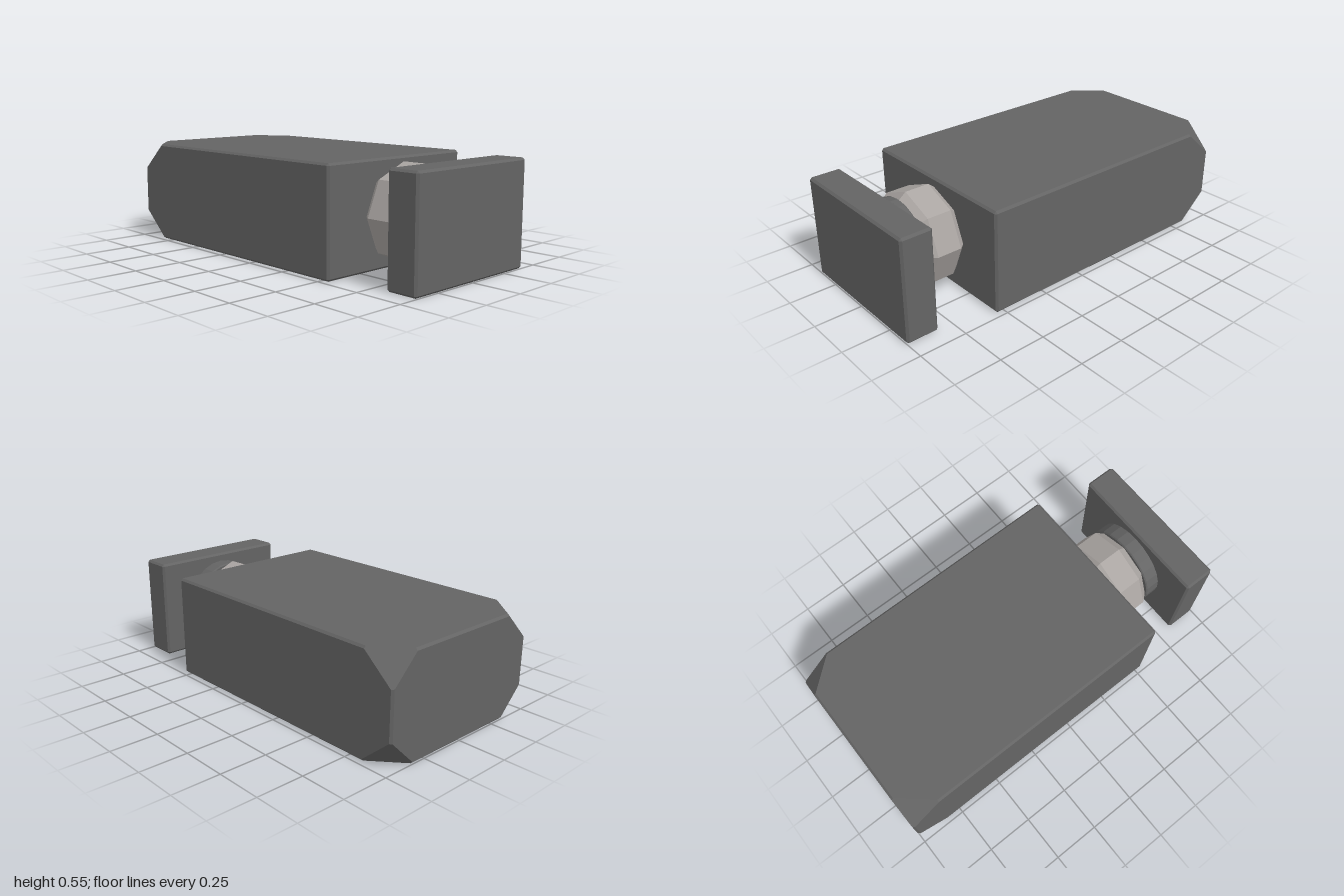
import * as THREE from 'three';
import { ConvexGeometry } from 'three/addons/geometries/ConvexGeometry.js';

const H = 0.545, MID = H / 2, BEVEL = 0.011;
const dark = new THREE.MeshStandardMaterial({ color: 0x646464, flatShading: true });
const light = new THREE.MeshStandardMaterial({ color: 0xaaa5a2, flatShading: true });

// Bevelled block from z0 to z1; cut = [x, y, z] slices off the back corners
function block(name, halfWidth, z0, z1, cut) {
  const half = [halfWidth, MID, (z1 - z0) / 2];
  const points = [];
  for (const sx of [-1, 1]) for (const sy of [-1, 1]) for (const sz of [-1, 1]) {
    const sign = [sx, sy, sz];
    // inset is the distance of a point from the sharp corner along each axis
    const add = (inset) => points.push(new THREE.Vector3(...inset.map((d, i) => sign[i] * (half[i] - d))));
    for (let axis = 0; axis < 3; axis++) {
      const a = (axis + 1) % 3, b = (axis + 2) % 3;
      if (cut && sz < 0) {
        // both lines of the bevelled edge end on the corner plane
        for (const k of [a, b]) {
          const inset = [0, 0, 0];
          inset[k] = BEVEL;
          inset[axis] = cut[axis] * (1 - BEVEL / cut[k]);
          add(inset);
        }
      } else {
        const inset = [BEVEL, BEVEL, BEVEL];
        inset[axis] = 0;
        add(inset);
      }
    }
  }
  const mesh = new THREE.Mesh(new ConvexGeometry(points), dark);
  mesh.name = name;
  mesh.position.set(0, MID, (z0 + z1) / 2);
  return mesh;
}

// Turned part along z from [radius, z] pairs, with corners on the x and y axes
function turned(name, profile, sides, material) {
  const geometry = new THREE.LatheGeometry(profile.map(([r, z]) => new THREE.Vector2(r, z)), sides);
  geometry.rotateX(Math.PI / 2);
  const mesh = new THREE.Mesh(geometry, material);
  mesh.name = name;
  mesh.position.y = MID;
  return mesh;
}

export function createModel() {
  const group = new THREE.Group();
  group.name = 'blockWithKnob';
  // Long body with its four back corners sliced off
  group.add(block('body', 0.475, -1, 0.545, [0.157, 0.157, 0.182]));
  // Front plate
  group.add(block('frontPlate', 0.4, 0.83, 1));
  // Eight-sided neck between body and plate
  group.add(turned('neck', [[0, 0.53], [0.212, 0.53], [0.25, 0.577], [0.25, 0.708], [0.212, 0.755], [0, 0.755]], 8, light));
  // Round collar behind the plate
  group.add(turned('collar', [[0, 0.75], [0.222, 0.75], [0.228, 0.756], [0.228, 0.835], [0, 0.835]], 24, dark));
  return group;
}
